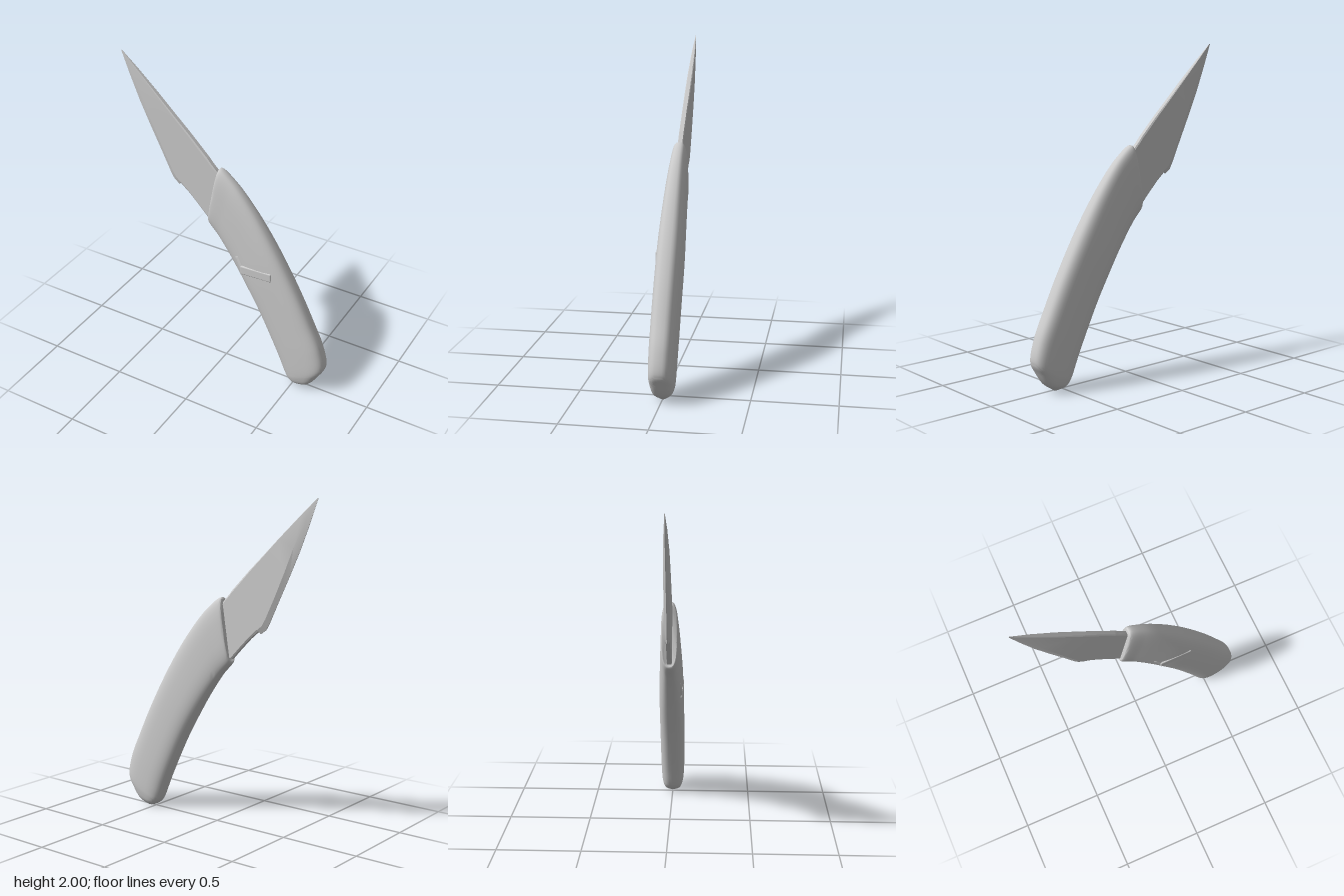
import * as THREE from 'three';
import { toCreasedNormals } from 'three/addons/utils/BufferGeometryUtils.js';
import { RoundedBoxGeometry } from 'three/addons/geometries/RoundedBoxGeometry.js';

const material = new THREE.MeshStandardMaterial({ color: 0xcccccc });

// Skin a list of equal-length closed rings and cap both ends.
function loft(rings, crease) {
  const n = rings[0].length, index = [];
  const points = rings.flat();
  for (let i = 0; i < rings.length - 1; i++) {
    for (let j = 0; j < n; j++) {
      const a = i * n + j, b = i * n + (j + 1) % n;
      index.push(a, b, a + n, b, b + n, a + n);
    }
  }
  const last = (rings.length - 1) * n;
  for (let j = 1; j < n - 1; j++) {
    index.push(0, j + 1, j, last, last + j, last + j + 1);
  }
  const geometry = new THREE.BufferGeometry().setFromPoints(points);
  geometry.setIndex(index);
  return toCreasedNormals(geometry, crease);
}

function addMesh(parent, name, geometry) {
  const mesh = new THREE.Mesh(geometry, material);
  mesh.name = name;
  parent.add(mesh);
  return mesh;
}

// Curved handle: back edge x, y; inner edge x, y; half thickness.
function handleGeometry() {
  const stations = [
    [-0.053, 1.378, -0.108, 1.028, 0.036],
    [-0.04, 1.4, -0.115, 1.015, 0.047],
    [0.06, 1.33, -0.04, 0.93, 0.056],
    [0.2, 1.17, 0.06, 0.795, 0.066],
    [0.35, 0.95, 0.16, 0.64, 0.075],
    [0.5, 0.69, 0.25, 0.485, 0.077],
    [0.6, 0.49, 0.34, 0.305, 0.077],
    [0.677, 0.32, 0.4, 0.175, 0.076],
    [0.703, 0.19, 0.44, 0.08, 0.073],
    [0.672, 0.125, 0.458, 0.048, 0.068],
    [0.62, 0.048, 0.487, 0.02, 0.052],
    [0.56, 0.004, 0.525, 0.004, 0.015],
  ];
  const back = new THREE.CatmullRomCurve3(stations.map(s => new THREE.Vector3(s[0], s[1], s[4])));
  const inner = new THREE.CatmullRomCurve3(stations.map(s => new THREE.Vector3(s[2], s[3], 0)));
  const steps = 88, sides = 40, rings = [];
  // Superellipse sections give flat cheeks with rounded edges.
  const round = v => Math.sign(v) * Math.abs(v) ** (2 / 2.9);
  for (let i = 0; i <= steps; i++) {
    const b = back.getPoint(i / steps), e = inner.getPoint(i / steps);
    const ring = [];
    for (let j = 0; j < sides; j++) {
      const a = j / sides * Math.PI * 2;
      const u = 0.5 + 0.5 * round(Math.cos(a));
      ring.push(new THREE.Vector3(
        e.x + (b.x - e.x) * u, e.y + (b.y - e.y) * u, b.z * round(Math.sin(a))));
    }
    rings.push(ring);
  }
  return loft(rings, 0.7);
}

// Blade: spine x, y; cutting edge x, y; half thickness; bevel fraction; edge half thickness.
function bladeGeometry() {
  const stations = [
    [-0.704, 2.0, -0.706, 1.994, 0.001, 0.4, 0.001],
    [-0.6, 1.905, -0.655, 1.86, 0.01, 0.4, 0.002],
    [-0.45, 1.765, -0.59, 1.7, 0.016, 0.25, 0.002],
    [-0.33, 1.65, -0.52, 1.55, 0.017, 0.15, 0.002],
    [-0.25, 1.575, -0.447, 1.4, 0.017, 0.11, 0.002],
    [-0.18, 1.505, -0.387, 1.275, 0.017, 0.1, 0.003],
    [-0.15, 1.475, -0.362, 1.232, 0.017, 0.1, 0.003],
    [-0.13, 1.455, -0.325, 1.207, 0.017, 0.09, 0.005],
    [-0.12, 1.445, -0.312, 1.222, 0.017, 0.04, 0.012],
    [-0.1, 1.42, -0.25, 1.17, 0.017, 0.03, 0.012],
    [-0.06, 1.38, -0.19, 1.11, 0.017, 0.03, 0.012],
    [-0.035, 1.34, -0.118, 1.035, 0.017, 0.03, 0.012],
    [0.0, 1.28, -0.05, 1.02, 0.017, 0.03, 0.012],
  ];
  const rings = stations.map(([sx, sy, ex, ey, t, bevel, edge]) => {
    const at = (u, z) => new THREE.Vector3(ex + (sx - ex) * u, ey + (sy - ey) * u, z);
    return [
      at(1, t * 0.7), at(0.97, t), at(bevel, t), at(0, edge),
      at(0, -edge), at(bevel, -t), at(0.97, -t), at(1, -t * 0.7),
    ];
  });
  return loft(rings, 0.35);
}

export function createModel() {
  const knife = new THREE.Group();
  knife.name = 'knife';
  addMesh(knife, 'handle', handleGeometry());
  addMesh(knife, 'blade', bladeGeometry());

  // Shallow raised grip on the front cheek only.
  const grip = new THREE.Group();
  grip.name = 'raisedGrip';
  knife.add(grip);
  const bar = addMesh(grip, 'gripBar', new RoundedBoxGeometry(0.21, 0.06, 0.02, 3, 0.009));
  bar.position.set(0.245, 0.785, 0.068);
  bar.rotation.z = 0.05;
  const step = addMesh(grip, 'gripStep', new RoundedBoxGeometry(0.12, 0.03, 0.02, 3, 0.009));
  step.position.set(0.135, 0.81, 0.06);
  step.rotation.set(0, -0.18, -1.05);
  return knife;
}
